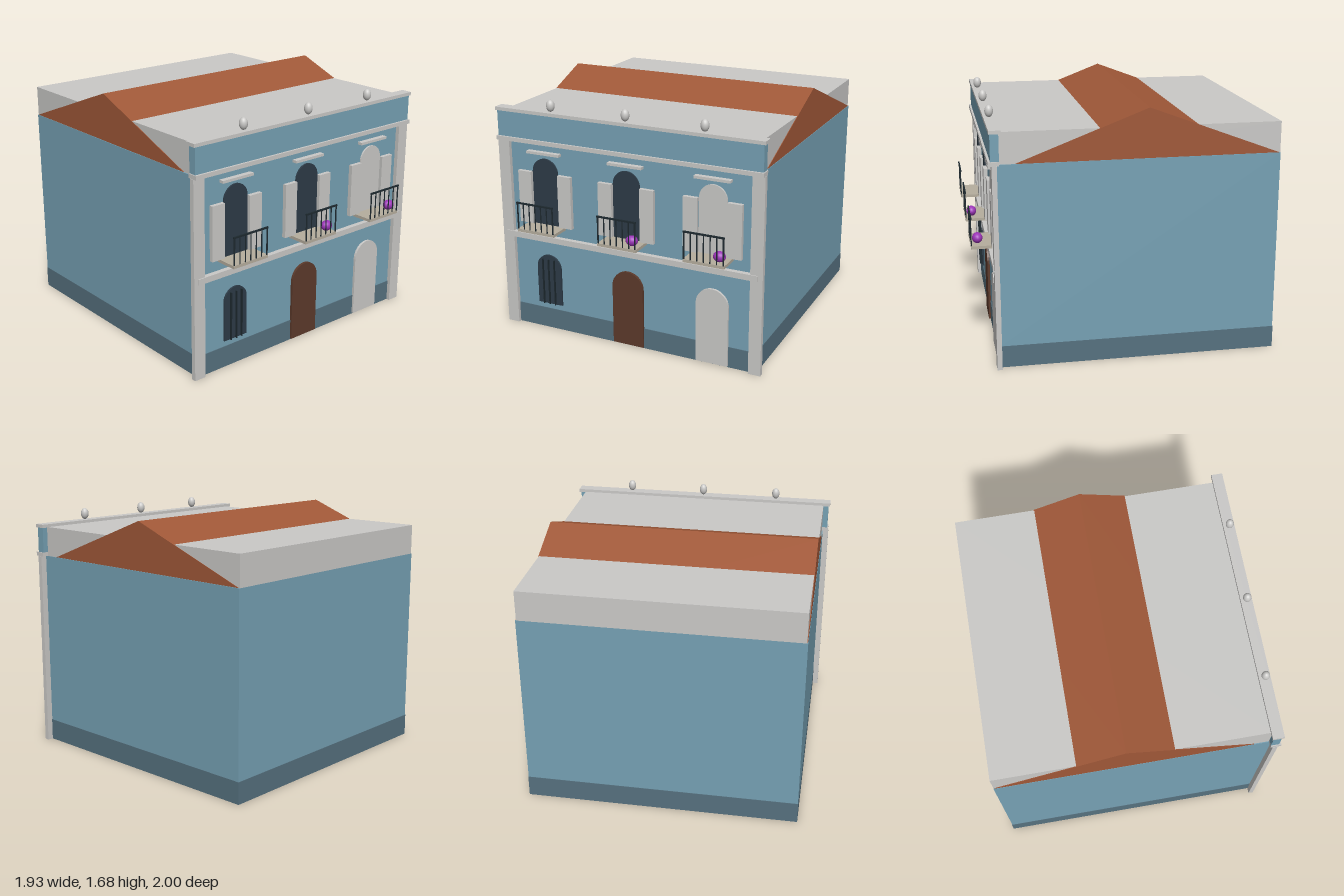
import * as THREE from 'three';

const mat = (name, color, extra = {}) =>
  Object.assign(new THREE.MeshStandardMaterial({ color, ...extra }), { name });

export function createModel() {
  const house = new THREE.Group();
  house.name = 'townhouse';

  const wall = mat('blue wall', 0x76a1b4);
  const plinthBlue = mat('slate blue', 0x56717f);
  const trim = mat('pale plaster', 0xcac9c7);
  const tile = mat('terracotta', 0xa05838);
  const glass = mat('dark glass', 0x2d3b47);
  const wood = mat('brown wood', 0x5c3a2b);
  const iron = mat('black iron', 0x1e2a30);
  const stone = mat('beige stone', 0xb6ae9e);
  const purple = mat('purple flower', 0x9c35b8);

  // Box given by its min and max on each axis
  function box(name, m, x0, x1, y0, y1, z0, z1, parent = house) {
    const mesh = new THREE.Mesh(new THREE.BoxGeometry(x1 - x0, y1 - y0, z1 - z0), m);
    mesh.position.set((x0 + x1) / 2, (y0 + y1) / 2, (z0 + z1) / 2);
    mesh.name = name;
    parent.add(mesh);
    return mesh;
  }

  // Round-headed panel standing on the facade
  function arch(name, m, x, y0, y1, halfW, depth, parent = house) {
    const s = new THREE.Shape();
    s.moveTo(x - halfW, y0);
    s.lineTo(x + halfW, y0);
    s.lineTo(x + halfW, y1 - halfW);
    s.absarc(x, y1 - halfW, halfW, 0, Math.PI, false);
    s.closePath();
    const g = new THREE.ExtrudeGeometry(s, { depth, bevelEnabled: false, curveSegments: 8 });
    const mesh = new THREE.Mesh(g, m);
    mesh.position.z = FRONT - 0.005;
    mesh.name = name;
    parent.add(mesh);
  }

  function ball(name, m, x, y, z, rx, ry, rz, parent = house) {
    const mesh = new THREE.Mesh(new THREE.SphereGeometry(1, 16, 12), m);
    mesh.scale.set(rx, ry, rz);
    mesh.position.set(x, y, z);
    mesh.name = name;
    parent.add(mesh);
  }

  const FRONT = 0.84;

  // Main body
  box('plinth', plinthBlue, -0.925, 0.925, 0, 0.147, -1, FRONT + 0.004);
  box('walls', wall, -0.923, 0.923, 0.147, 1.355, -0.997, FRONT);
  box('flatRoof', trim, -0.917, 0.917, 1.355, 1.56, -0.997, 0.82);

  // Gabled tile roof rising through the flat roof
  const gable = new THREE.Shape();
  gable.moveTo(-0.72, 1.356);
  gable.lineTo(0.99, 1.356);
  gable.lineTo(0.13, 1.68);
  gable.closePath();
  const gableGeo = new THREE.ExtrudeGeometry(gable, { depth: 1.842, bevelEnabled: false });
  gableGeo.rotateY(Math.PI / 2).translate(-0.921, 0, 0);
  const roof = new THREE.Mesh(gableGeo, tile);
  roof.name = 'gableRoof';
  house.add(roof);

  // Corner pilasters
  for (const s of [-1, 1]) {
    const p = box('pilaster', trim, -0.0425, 0.0425, 0, 1.355, 0.835, 0.868);
    p.position.x = s * 0.922;
  }

  // Bands, parapet and coping
  box('floorBand', trim, -0.933, 0.933, 0.66, 0.7, FRONT - 0.005, 0.875);
  box('cornice', trim, -0.962, 0.962, 1.355, 1.383, 0.82, 0.89);
  box('parapet', wall, -0.955, 0.955, 1.383, 1.557, 0.82, 0.875);
  box('coping', trim, -0.966, 0.966, 1.557, 1.58, 0.805, 0.882);
  for (const x of [-0.553, 0, 0.553]) ball('finial', trim, x, 1.622, 0.845, 0.028, 0.04, 0.028);

  // Upper windows with shutters, lintel and balcony
  [-0.615, 0, 0.615].forEach((x, i) => {
    const bay = new THREE.Group();
    bay.name = 'balconyBay';
    house.add(bay);
    arch('upperWindow', i === 2 ? trim : glass, x, 0.78, 1.25, 0.097, 0.016, bay);
    for (const s of [-1, 1]) {
      const shutter = box('shutter', trim, -0.05, 0.05, 0.782, 1.15, FRONT, 0.868, bay);
      shutter.position.x = x + s * 0.153;
    }
    box('lintel', trim, x - 0.125, x + 0.125, 1.282, 1.3, FRONT - 0.005, 0.876, bay);
    box('balconySlab', stone, x - 0.142, x + 0.142, 0.762, 0.782, FRONT, 0.998, bay);

    // Railing
    box('topRail', iron, x - 0.142, x + 0.142, 0.962, 0.973, 0.99, 1, bay);
    for (let k = 0; k < 7; k++) {
      const bx = x - 0.135 + k * 0.045;
      const w = k % 6 === 0 ? 0.005 : 0.0035;
      box('railBar', iron, bx - w, bx + w, 0.782, 0.964, 0.993, 0.997, bay);
    }
    if (i > 0) ball('flowers', purple, x + 0.092, 0.824, 0.955, 0.042, 0.035, 0.034, bay);
  });

  // Ground floor openings
  arch('groundWindow', glass, -0.615, 0.19, 0.555, 0.094, 0.018);
  for (const d of [-0.045, 0, 0.045])
    box('windowBar', iron, -0.618 + d, -0.612 + d, 0.19, 0.525, 0.85, 0.868);
  arch('frontDoor', wood, 0, 0.008, 0.545, 0.114, 0.022);
  arch('sideDoor', trim, 0.615, 0.008, 0.542, 0.114, 0.022);

  return house;
}
